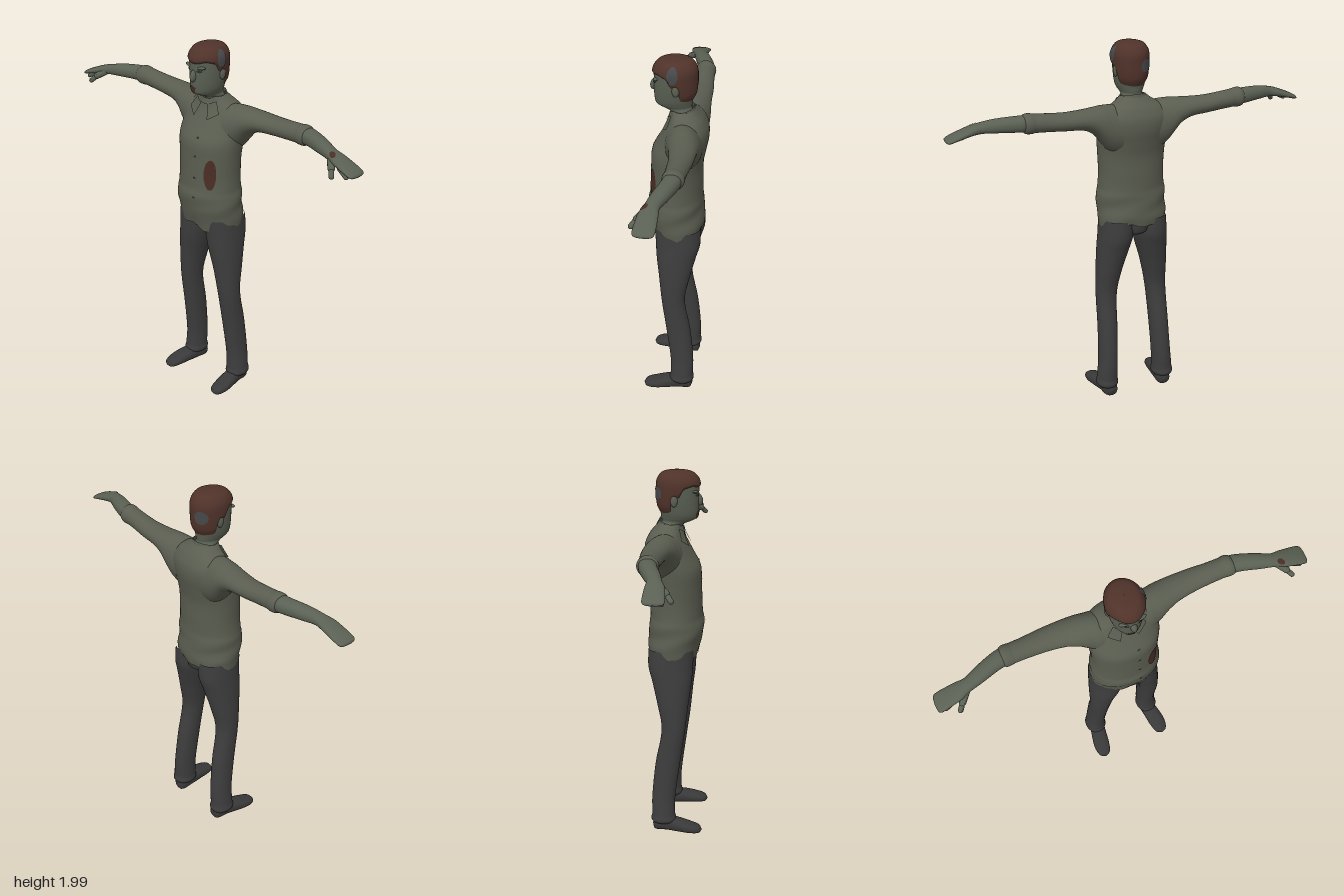
import * as THREE from 'three';

const mat = (name, color, side = THREE.FrontSide) => {
  const m = new THREE.MeshStandardMaterial({ color, side });
  m.name = name;
  return m;
};

// Smooth grid surface; f(u, v) gives a point, u wraps round when wrap is set
function surface(f, us, vs, wrap) {
  const pos = [], idx = [], n = us.length;
  for (const v of vs) for (const u of us) pos.push(...f(u, v));
  for (let j = 0; j < vs.length - 1; j++) {
    for (let i = 0; i < (wrap ? n : n - 1); i++) {
      const a = j * n + i, b = j * n + (i + 1) % n;
      idx.push(a, a + n, b, b, a + n, b + n);
    }
  }
  const g = new THREE.BufferGeometry();
  g.setAttribute('position', new THREE.Float32BufferAttribute(pos, 3));
  g.setIndex(idx);
  g.computeVertexNormals();
  return g;
}
const range = (a, b, n) => Array.from({ length: n + 1 }, (_, i) => a + (b - a) * i / n);
const circle = n => range(0, Math.PI * 2, n).slice(0, n);

// Smooth interpolation of rows [t, centre, centre, radius, radius] at t
function sample(rows, t) {
  let i = 0;
  while (i < rows.length - 2 && t > rows[i + 1][0]) i++;
  const a = rows[i], b = rows[i + 1], p = rows[Math.max(i - 1, 0)], q = rows[Math.min(i + 2, rows.length - 1)];
  const h = b[0] - a[0], s = (t - a[0]) / h, s2 = s * s, s3 = s2 * s;
  return a.map((v, k) => {
    const m0 = (b[k] - p[k]) / (b[0] - p[0]) * h, m1 = (q[k] - v) / (q[0] - a[0]) * h;
    return v * (2 * s3 - 3 * s2 + 1) + m0 * (s3 - 2 * s2 + s) + b[k] * (3 * s2 - 2 * s3) + m1 * (s3 - s2);
  });
}
const rounded = (c, e) => Math.sign(c) * Math.abs(c) ** e;

// Body along an axis (0 = x, 1 = y, 2 = z): point(angle, t, offset)
const body = (rows, axis, e = 1) => (th, t, off = 0) => {
  const r = sample(rows, t), p = [0, 0, 0];
  p[axis] = t;
  p[(axis + 2) % 3] = r[1] + (Math.max(r[3], 0) + off) * rounded(Math.cos(th), e);
  p[(axis + 1) % 3] = r[2] + (Math.max(r[4], 0) + off) * rounded(Math.sin(th), e);
  return p;
};
const stops = (rows, k = 5) => rows.slice(1).flatMap((r, i) => range(rows[i][0], r[0], k).slice(i ? 1 : 0));
const loft = (rows, axis, e) => surface(body(rows, axis, e), circle(40), stops(rows), true);

// Oval patch lying just above a body
const decal = (f, th, t, rth, rt, off = 0.004) => surface(
  (a, r) => f(th + rth * r * Math.sin(a), t + rt * r * Math.cos(a), off), circle(28), range(0.001, 1, 4), true);

function mirrored(g) {
  const m = g.clone().scale(-1, 1, 1), ix = m.index.array;
  for (let i = 0; i < ix.length; i += 3) [ix[i], ix[i + 1]] = [ix[i + 1], ix[i]];
  m.computeVertexNormals();
  return m;
}
function finger(a, b, r) {
  const A = new THREE.Vector3(...a), d = new THREE.Vector3(...b).sub(A);
  const g = new THREE.CapsuleGeometry(r, d.length(), 5, 12);
  g.applyQuaternion(new THREE.Quaternion().setFromUnitVectors(new THREE.Vector3(0, 1, 0), d.clone().normalize()));
  return g.translate(...A.addScaledVector(d, 0.5).toArray());
}

const TORSO = [[1, 0, -0.012, 0.186, 0.132], [1.06, 0, -0.008, 0.19, 0.142], [1.12, 0, 0.003, 0.189, 0.145],
  [1.18, 0, 0.005, 0.189, 0.146], [1.22, 0, 0.004, 0.182, 0.14], [1.3, 0, 0.002, 0.178, 0.138],
  [1.4, 0, 0, 0.183, 0.136], [1.48, 0, -0.01, 0.19, 0.14], [1.55, 0, -0.035, 0.195, 0.128],
  [1.61, 0, -0.05, 0.19, 0.11], [1.66, 0, -0.05, 0.15, 0.087], [1.69, 0, -0.04, 0.1, 0.072], [1.715, 0, -0.028, 0.068, 0.062]];
const SLEEVE = [[0.1, -0.045, 1.545, 0.1, 0.13], [0.14, -0.049, 1.555, 0.097, 0.127], [0.17, -0.054, 1.568, 0.092, 0.116],
  [0.2, -0.058, 1.587, 0.088, 0.097], [0.24, -0.063, 1.61, 0.08, 0.071], [0.3, -0.07, 1.625, 0.07, 0.053],
  [0.4, -0.075, 1.63, 0.061, 0.047], [0.5, -0.072, 1.637, 0.054, 0.047], [0.57, -0.07, 1.642, 0.052, 0.048], [0.61, -0.068, 1.643, 0.047, 0.045]];
const CUFF = [[0.55, -0.07, 1.641, 0.05, 0.045], [0.575, -0.07, 1.642, 0.054, 0.051], [0.6, -0.069, 1.643, 0.055, 0.052],
  [0.615, -0.067, 1.643, 0.05, 0.047], [0.625, -0.066, 1.643, 0.038, 0.035]];
const FOREARM = [[0.58, -0.068, 1.643, 0.046, 0.042], [0.64, -0.063, 1.645, 0.046, 0.041], [0.75, -0.03, 1.64, 0.043, 0.035],
  [0.82, -0.008, 1.632, 0.037, 0.028], [0.87, 0, 1.622, 0.047, 0.024], [0.92, 0.003, 1.607, 0.051, 0.02],
  [0.96, 0.005, 1.594, 0.053, 0.016], [0.985, 0.006, 1.585, 0.05, 0.013], [0.996, 0.006, 1.582, 0.036, 0.008], [1, 0.006, 1.581, 0.0005, 0.0005]];
const LEG = [[0.045, 0.17, -0.05, 0.0005, 0.0005], [0.055, 0.17, -0.05, 0.053, 0.061], [0.1, 0.169, -0.05, 0.056, 0.063],
  [0.2, 0.163, -0.05, 0.052, 0.064], [0.4, 0.155, -0.028, 0.052, 0.067], [0.6, 0.148, 0.002, 0.057, 0.064],
  [0.75, 0.132, -0.003, 0.07, 0.085], [0.87, 0.112, -0.01, 0.084, 0.107], [0.95, 0.1, -0.018, 0.09, 0.12], [1.05, 0.095, -0.015, 0.088, 0.122]];
const PELVIS = [[0.938, 0, -0.02, 0.0005, 0.03], [0.955, 0, -0.02, 0.05, 0.08], [0.98, 0, -0.018, 0.085, 0.112], [1.06, 0, -0.012, 0.11, 0.122]];
const SHOE = [[-0.112, 0.03, 0.162, 0.0005, 0.0005], [-0.1, 0.035, 0.163, 0.034, 0.035], [-0.03, 0.04, 0.168, 0.04, 0.043],
  [0.04, 0.035, 0.18, 0.035, 0.047], [0.1, 0.027, 0.188, 0.027, 0.046], [0.15, 0.02, 0.19, 0.018, 0.03], [0.165, 0.016, 0.19, 0.0005, 0.0005]];
const HEAD = [[1.66, 0, -0.03, 0.06, 0.06], [1.71, 0, -0.018, 0.058, 0.06], [1.727, 0, 0.004, 0.056, 0.078], [1.742, 0, 0.016, 0.064, 0.093],
  [1.77, 0, 0.018, 0.075, 0.099], [1.82, 0, 0.013, 0.084, 0.107], [1.88, 0, 0.012, 0.089, 0.108], [1.93, 0, 0.012, 0.088, 0.106],
  [1.96, 0, 0.01, 0.073, 0.088], [1.976, 0, 0.008, 0.05, 0.06], [1.983, 0, 0.008, 0.001, 0.001]];
// Hairline height from the back (-1) to the front (1)
const HAIRLINE = [[-1, 1.77], [-0.4, 1.78], [-0.18, 1.86], [0.1, 1.86], [0.32, 1.905], [0.75, 1.918], [1, 1.905]];

export function createModel() {
  const root = new THREE.Group();
  const shirt = mat('shirt cloth', 0x5a5d50, THREE.DoubleSide), skin = mat('skin', 0x5a6053);
  const trousers = mat('trouser cloth', 0x3d3d3e), leather = mat('shoe leather', 0x39393a);
  const hairMat = mat('hair', 0x50332a, THREE.DoubleSide), greyHair = mat('grey hair', 0x46484a, THREE.DoubleSide);
  const stain = mat('dark red stain', 0x4a2d25), dark = mat('dark detail', 0x2f312c);
  const add = (name, g, m) => {
    const mesh = new THREE.Mesh(g, m);
    mesh.name = name;
    root.add(mesh);
  };
  const pair = (name, g, m) => {
    add('left' + name, g, m);
    add('right' + name, mirrored(g), m);
  };

  // Shirt with a torn hem, lower in front, and soft folds at the waist
  const torso = body(TORSO, 1, 0.95), head = body(HEAD, 1), arm = body(FOREARM, 0);
  const torn = (th, y) => {
    const fold = 0.003 * Math.sin(th * 3 + y * 45) * Math.max(0, 1 - Math.abs(y - 1.13) / 0.12);
    const p = torso(th, y, fold), fall = Math.max(0, 1 - (y - 1) / 0.08);
    p[1] += fall * (0.004 - 0.012 * Math.sin(th) + 0.011 * Math.sin(th * 4 + 0.6) + 0.009 * Math.sin(th * 9));
    return p;
  };
  add('shirtBody', surface(torn, circle(80), stops(TORSO), true), shirt);
  pair('Sleeve', loft(SLEEVE, 0), shirt);
  pair('Cuff', loft(CUFF, 0), shirt);
  add('shirtStain', decal(torso, 0.91, 1.322, 0.21, 0.085), stain);
  [1.51, 1.41, 1.29, 1.18].forEach(y => add('button', decal(torso, 1.43, y, 0.045, 0.006, 0.005), dark));

  // Collar wings, four corners laid over the chest
  const onChest = (x, y) => {
    const r = sample(TORSO, y), k = Math.min(Math.abs(x) / r[3], 1);
    return [x, y, r[2] + r[4] * (1 - k ** 2.1) ** 0.475 + 0.012];
  };
  const mix = (a, b, s) => a + (b - a) * s;
  const wing = (u, v) => onChest(mix(mix(0.048, 0.104, u), mix(0.022, 0.068, u), v),
    mix(mix(1.6, 1.637, u), mix(1.672, 1.695, u), v));
  pair('CollarWing', surface(wing, range(0, 1, 8), range(0, 1, 8)), shirt);
  add('collarBand', surface((th, v) => [(0.077 - 0.01 * v) * Math.cos(th), 1.685 + 0.03 * v - 0.015 * Math.sin(th),
    -0.026 + (0.07 - 0.008 * v) * Math.sin(th)], circle(40), range(0, 1, 4), true), shirt);

  // Forearms with mitten-like hands, a dropped finger and a thumb
  pair('Forearm', loft(FOREARM, 0, 0.92), skin);
  pair('DroppedFinger', finger([0.905, 1.596, 0.032], [0.955, 1.572, 0.042], 0.012), skin);
  pair('Thumb', finger([0.835, 1.62, 0.016], [0.872, 1.594, 0.053], 0.018), skin);
  pair('ThumbTip', finger([0.872, 1.594, 0.053], [0.895, 1.567, 0.077], 0.0135), skin);
  add('handStain', decal(arm, 0.95, 0.85, 0.42, 0.019, 0.003), stain);

  // Trousers and shoes
  add('pelvis', loft(PELVIS, 1), trousers);
  pair('TrouserLeg', loft(LEG, 1, 0.95), trousers);
  pair('Shoe', loft(SHOE, 2, 0.85), leather);

  // Head and face
  add('head', loft(HEAD, 1), skin);
  const ball = new THREE.SphereGeometry(1, 20, 14);
  add('nose', ball.clone().scale(0.017, 0.034, 0.022).rotateX(-0.3).translate(0, 1.84, 0.117), skin);
  pair('Ear', ball.clone().scale(0.011, 0.032, 0.019).translate(0.087, 1.845, -0.002), skin);
  pair('Brow', ball.clone().scale(0.034, 0.009, 0.014).rotateZ(0.12).translate(0.037, 1.885, 0.103), skin);
  pair('Eye', decal(head, 1.16, 1.868, 0.18, 0.007, 0.003), dark);
  add('mouthStain', decal(head, 1.75, 1.763, 0.32, 0.024, 0.003), stain);
  add('mouth', decal(head, 1.6, 1.778, 0.27, 0.004, 0.005), dark);

  // Hair shell following the skull, with greying patches
  const line = s => {
    const i = Math.max(1, HAIRLINE.findIndex(h => h[0] >= s - 1e-9)), a = HAIRLINE[i - 1], b = HAIRLINE[i];
    return a[1] + (b[1] - a[1]) * (s - a[0]) / (b[0] - a[0]);
  };
  add('hair', surface((th, v) => {
    const y0 = line(Math.sin(th)), y = y0 + (1.983 - y0) * v;
    const p = head(th, y, v > 0.999 ? 0 : 0.008 * Math.min(1, v * 8));
    p[1] += 0.008 * v;
    return p;
  }, circle(64), [...range(0, 0.9, 18), 0.93, 0.96, 0.98, 0.992, 1], true), hairMat);
  const scalp = (th, y, off) => {
    const p = head(th, y, off);
    p[1] += 0.005;
    return p;
  };
  add('sideGreyPatch', decal(scalp, 0.02, 1.925, 0.24, 0.045, 0.013), greyHair);
  add('backGreyPatch', decal(scalp, -2.05, 1.872, 0.36, 0.036, 0.012), greyHair);
  return root;
}
